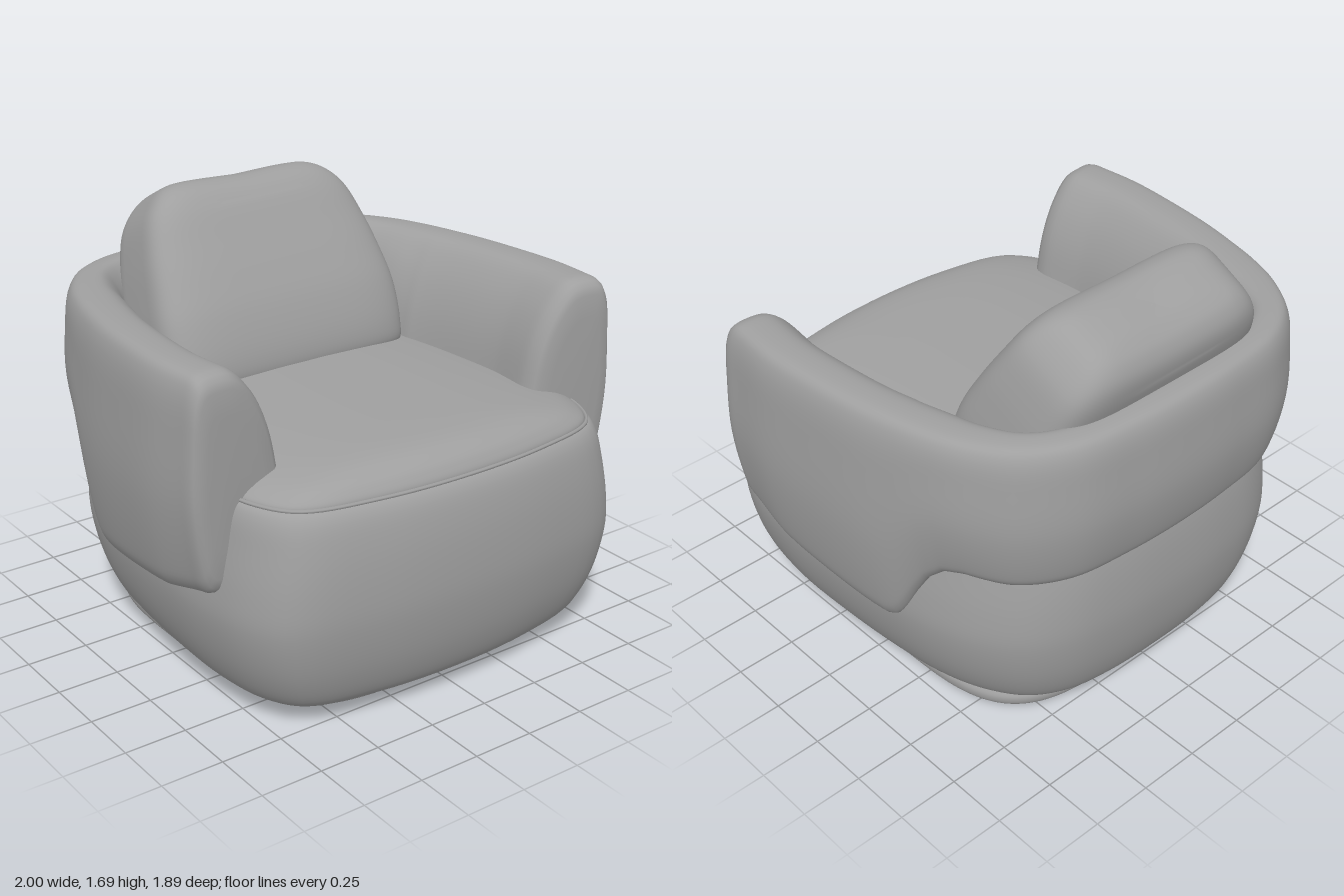
import * as THREE from 'three';

const V = (x, y, z) => new THREE.Vector3(x, y, z);

// Smooth curve samples through a few control points
const smooth = (pts, n, closed = false) => {
  const list = new THREE.CatmullRomCurve3(pts.map(p => V(...p)), closed).getPoints(n);
  if (closed) list.pop();
  return list;
};

// Skin over a row of closed rings
function loft(rings) {
  const n = rings[0].length, pos = [], idx = [];
  rings.forEach(r => r.forEach(p => pos.push(p.x, p.y, p.z)));
  for (let i = 0; i < rings.length - 1; i++) {
    for (let j = 0; j < n; j++) {
      const k = (j + 1) % n, a = i * n, b = a + n;
      idx.push(a + j, b + j, a + k, a + k, b + j, b + k);
    }
  }
  const g = new THREE.BufferGeometry();
  g.setAttribute('position', new THREE.Float32BufferAttribute(pos, 3));
  g.setIndex(idx);
  g.computeVertexNormals();
  return g;
}

// Piecewise-linear lookup, table sorted by rising first value
function lookup(table, v) {
  if (v <= table[0][0]) return table[0][1];
  for (let i = 1; i < table.length; i++) {
    const [a, fa] = table[i - 1], [b, fb] = table[i];
    if (v <= b) return fa + (fb - fa) * (v - a) / (b - a);
  }
  return table[table.length - 1][1];
}

// Squarish closed outline, half sizes 1
const squircle = (n, exponent) => Array.from({ length: n }, (_, j) => {
  const a = j / n * Math.PI * 2;
  const power = v => Math.sign(v) * Math.abs(v) ** exponent;
  return V(power(Math.cos(a)), 0, power(Math.sin(a)));
});

// Plan outline of the base, back centre round the left side to front centre
const half = [
  [0, 0, -0.9], [0.27, 0, -0.89], [0.49, 0, -0.85], [0.65, 0, -0.76], [0.765, 0, -0.6],
  [0.835, 0, -0.4], [0.87, 0, -0.15], [0.89, 0, 0.15], [0.89, 0, 0.45], [0.845, 0, 0.69],
  [0.74, 0, 0.835], [0.42, 0, 0.917], [0, 0, 0.945],
];
const mirrored = half.slice(1, -1).reverse().map(([x, y, z]) => [-x, y, z]);
const plan = smooth([...half, ...mirrored], 120, true);

// Loft of an outline through levels of [x scale, z scale, height]
const planLoft = (outline, levels, n) =>
  loft(smooth(levels, n).map(l => outline.map(p => V(p.x * l.x, l.z, p.z * l.y))));

// Arm and back band swept round the chair
function wrapGeometry() {
  const side = [
    [0.983, 0, 0.5], [1, 0, 0.3], [0.99, 0, 0.08], [0.957, 0, -0.2], [0.9, 0, -0.43],
    [0.82, 0, -0.63], [0.7, 0, -0.79], [0.51, 0, -0.897], [0.25, 0, -0.935],
  ];
  const other = [...side].reverse().map(([x, y, z]) => [-x, y, z]);
  const path = new THREE.CatmullRomCurve3([...side, [0, 0, -0.945], ...other].map(p => V(...p)));
  // Section as [inset from the outside, fraction of height]
  const section = smooth([
    [0.3, 0.04, 0], [0.09, 0, 0], [0.055, 0.04, 0], [0.03, 0.14, 0], [0, 0.42, 0], [0.006, 0.7, 0],
    [0.025, 0.92, 0], [0.055, 0.985, 0], [0.12, 1, 0], [0.2, 0.985, 0], [0.28, 0.89, 0],
    [0.345, 0.74, 0], [0.385, 0.55, 0], [0.4, 0.35, 0],
  ], 64, true);
  // Lower edge: low under the arms, stepping up round the back
  const lower = [
    [-0.95, 0.735], [-0.75, 0.74], [-0.6, 0.755], [-0.52, 0.74], [-0.45, 0.68], [-0.4, 0.595],
    [-0.34, 0.475], [-0.3, 0.425], [-0.26, 0.41], [-0.2, 0.415], [0, 0.44], [0.3, 0.48], [0.5, 0.53],
  ];
  const N = 170, rings = [];
  for (let i = 0; i <= N; i++) {
    const p = path.getPointAt(i / N), t = path.getTangentAt(i / N);
    const inward = V(0, 1, 0).cross(t).normalize();
    const yb = lookup(lower, p.z);
    const thick = lookup([[-0.85, 0.5], [-0.3, 1]], p.z);
    rings.push(section.map(s => {
      const d = s.x < 0.1 ? s.x : 0.1 + (s.x - 0.1) * thick;
      return p.clone().addScaledVector(inward, d).setY(yb + s.y * (1.372 - yb));
    }));
  }
  // Rounded arm fronts
  const endCap = ring => {
    const c = ring.reduce((s, p) => s.add(p), V(0, 0, 0)).divideScalar(ring.length);
    return [[0.02, 0.992], [0.045, 0.97], [0.065, 0.925], [0.078, 0.84], [0.084, 0.6], [0.085, 0]]
      .map(([dz, k]) => ring.map(p => p.clone().sub(c).multiplyScalar(k).add(c).add(V(0, 0, dz))));
  };
  return loft([...endCap(rings[0]).reverse(), ...rings, ...endCap(rings[N])]);
}

// Leaning back cushion: squarish rings along a tilted axis
function cushionGeometry() {
  const axis = V(0, 0.89, -0.456), out = V(0, 0.456, 0.89), start = V(0, 0.905, -0.335);
  // [half width, half thickness, distance along the axis]
  const levels = smooth([
    [0, 0, -0.04], [0.45, 0.12, -0.035], [0.55, 0.19, 0], [0.565, 0.225, 0.08], [0.57, 0.25, 0.25],
    [0.55, 0.245, 0.4], [0.52, 0.23, 0.55], [0.475, 0.212, 0.69], [0.42, 0.185, 0.765],
    [0.36, 0.14, 0.81], [0.27, 0.08, 0.832], [0, 0, 0.838],
  ], 66);
  const outline = squircle(80, 0.4);
  return loft(levels.map(l => outline.map(p => {
    const x = p.x * l.x;
    // slight dip in the middle of the top edge
    const dip = l.z > 0.7 ? 0.012 * (1 - Math.min(1, Math.abs(x) / 0.3)) : 0;
    return start.clone().addScaledVector(axis, l.z - dip).addScaledVector(out, p.z * l.y).setX(x);
  })));
}

export function createModel() {
  const group = new THREE.Group();
  const fabric = new THREE.MeshStandardMaterial({ color: 0x9f9f9f });
  fabric.name = 'grey fabric';
  const add = (name, geometry) => {
    const mesh = new THREE.Mesh(geometry, fabric);
    mesh.name = name;
    group.add(mesh);
  };

  add('plinth', planLoft(squircle(96, 0.5), [
    [0, 0, 0.004], [0.68, 0.71, 0.004], [0.705, 0.73, 0.016], [0.71, 0.735, 0.05], [0.69, 0.715, 0.09],
  ], 30));

  add('base', planLoft(plan, [
    [0, 0, 0.065], [0.79, 0.83, 0.065], [0.84, 0.875, 0.075], [0.895, 0.915, 0.12], [0.96, 0.965, 0.25],
    [1, 0.997, 0.43], [0.992, 1, 0.57], [0.962, 0.985, 0.73], [0.938, 0.957, 0.84],
    [0.915, 0.93, 0.88], [0.875, 0.9, 0.888], [0.8, 0.85, 0.86],
  ], 66));

  add('seatCushion', planLoft(plan, [
    [0.88, 0.905, 0.86], [0.895, 0.915, 0.89], [0.83, 0.895, 0.93], [0.68, 0.85, 0.965],
    [0.44, 0.77, 0.99], [0.2, 0.6, 0.999], [0, 0, 1],
  ], 48));

  // Piping between base and seat
  const seam = new THREE.CatmullRomCurve3(plan.map(p => V(p.x * 0.903, 0.888, p.z * 0.92)), true);
  add('seatPiping', new THREE.TubeGeometry(seam, 160, 0.008, 6, true));

  add('armAndBackBand', wrapGeometry());
  add('backCushion', cushionGeometry());
  return group;
}
